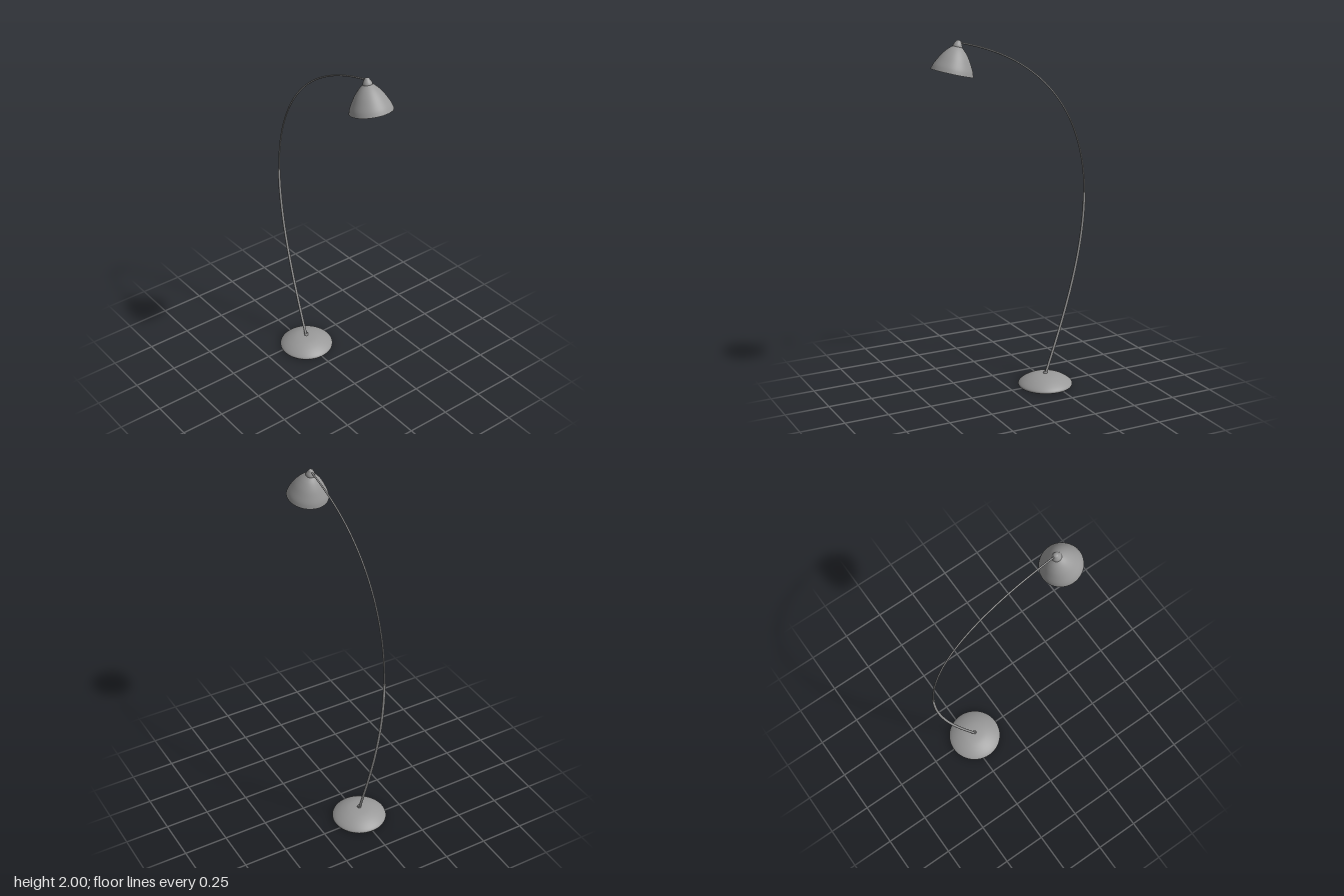
import * as THREE from 'three';

const material = new THREE.MeshStandardMaterial({ color: 0x999999, side: THREE.DoubleSide });
const v2 = (p) => new THREE.Vector2(p[0], p[1]);
const v3 = (p) => new THREE.Vector3(p[0], p[1], 0);

function addMesh(parent, name, geometry) {
  const mesh = new THREE.Mesh(geometry, material);
  mesh.name = name;
  parent.add(mesh);
  return mesh;
}

// Smooth rounded profile, given as [radius, height] pairs from bottom to top
function turned(points, steps = 32) {
  const curve = new THREE.SplineCurve(points.map(v2));
  return new THREE.LatheGeometry(curve.getPoints(steps), 48);
}

// Bent rod along a cubic curve in the xy plane
function rod(points, radius) {
  const curve = new THREE.CubicBezierCurve3(...points.map(v3));
  return new THREE.TubeGeometry(curve, 64, radius, 12);
}

export function createModel() {
  const lamp = new THREE.Group();
  lamp.name = 'arcFloorLamp';

  // Domed foot with a softly rounded edge and a flat underside
  const base = new THREE.Group();
  base.name = 'base';
  base.position.x = -0.213;
  lamp.add(base);
  addMesh(base, 'baseDome', turned([
    [0.152, 0], [0.155, 0.007], [0.15, 0.016], [0.133, 0.03], [0.105, 0.046], [0.07, 0.059], [0.035, 0.065], [0, 0.067],
  ]));
  addMesh(base, 'baseUnderside', new THREE.CircleGeometry(0.152, 48)).rotation.x = Math.PI / 2;

  // Socket holding the pole
  const socket = addMesh(base, 'poleSocket', new THREE.CylinderGeometry(0.011, 0.012, 0.02, 20));
  socket.position.set(-0.001, 0.067, 0);
  socket.rotation.z = 0.34;

  // Thick lower pole and thin upper arm, meeting upright at mid height
  addMesh(lamp, 'lowerPole', rod([[-0.213, 0.055], [-0.335, 0.4], [-0.454, 0.76], [-0.454, 1.1]], 0.0075));
  addMesh(lamp, 'upperArm', rod([[-0.454, 1.08], [-0.454, 1.55], [-0.2, 1.88], [0.305, 1.985]], 0.0045));
  addMesh(lamp, 'poleEnd', new THREE.CylinderGeometry(0.0075, 0.0075, 0.004, 12)).position.set(-0.454, 1.101, 0);

  // Tilted lamp head, with its origin at the centre of the shade opening
  const head = new THREE.Group();
  head.name = 'lampHead';
  head.position.set(0.349, 1.833, 0);
  head.rotation.z = 0.24;
  lamp.add(head);
  addMesh(head, 'shade', turned([
    [0.114, -0.003], [0.106, 0.023], [0.091, 0.053], [0.072, 0.085], [0.049, 0.114], [0.024, 0.137],
  ]));
  addMesh(head, 'shadeCap', turned([
    [0.024, 0.13], [0.0255, 0.138], [0.022, 0.149], [0.016, 0.159], [0.01, 0.168], [0, 0.171],
  ]));

  // Bulb and its holder inside the shade
  addMesh(head, 'bulb', new THREE.SphereGeometry(0.033, 32, 20)).position.y = 0.045;
  addMesh(head, 'bulbHolder', new THREE.CylinderGeometry(0.015, 0.015, 0.07, 20)).position.y = 0.1;

  return lamp;
}
